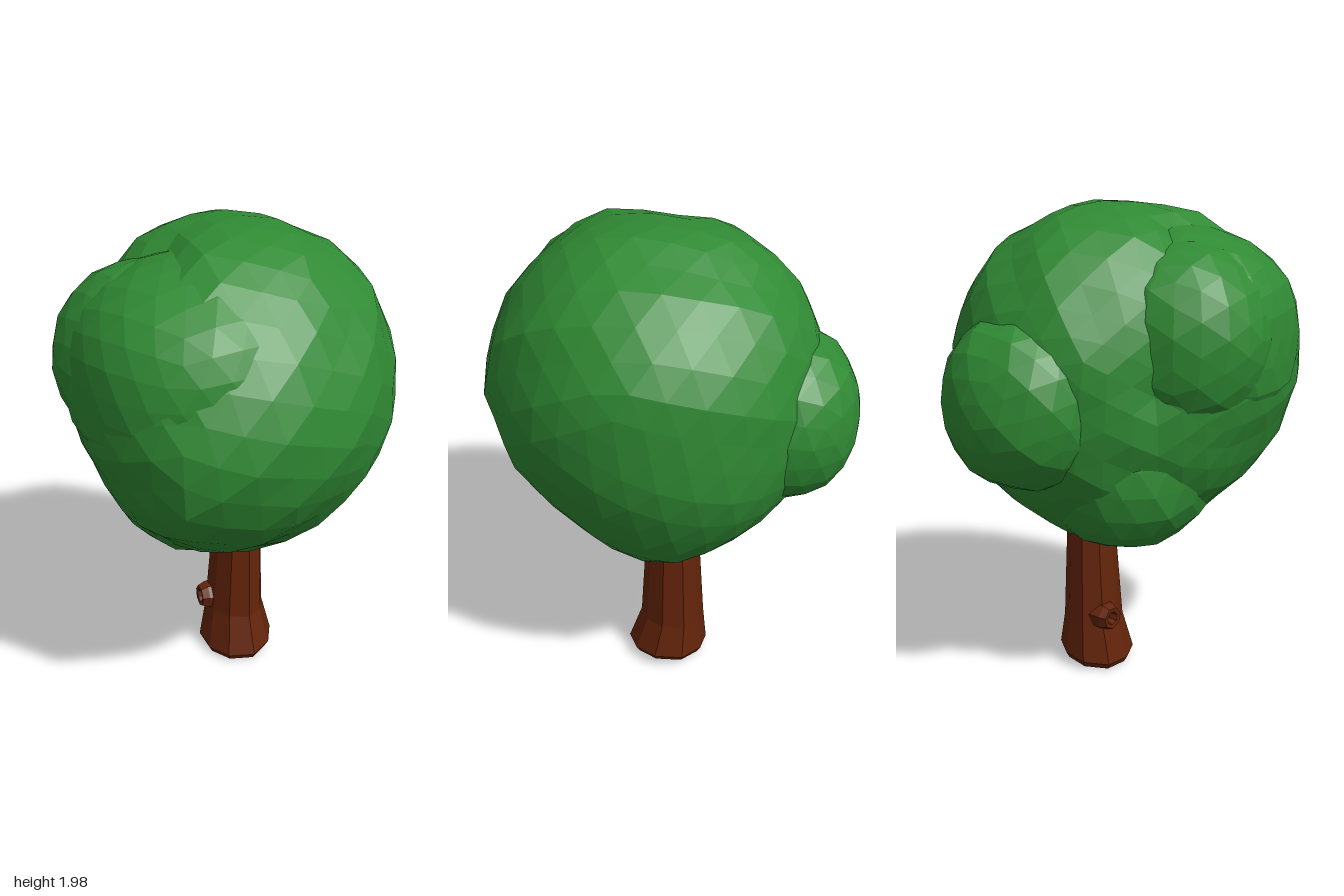
import * as THREE from 'three';

const leafMaterial = new THREE.MeshStandardMaterial({ color: 0x308a34, flatShading: true });
const barkMaterial = new THREE.MeshStandardMaterial({ color: 0x64240a, flatShading: true });

// Move every vertex of a geometry by a rule
function reshape(geometry, rule) {
  const p = geometry.attributes.position;
  const v = new THREE.Vector3();
  for (let i = 0; i < p.count; i++) {
    rule(v.fromBufferAttribute(p, i));
    p.setXYZ(i, v.x, v.y, v.z);
  }
  geometry.computeVertexNormals();
  return geometry;
}

// Repeatable unevenness that depends only on position, so shared corners stay joined
function bump(v, seed) {
  return 0.009 * Math.sin(5.1 * v.x + seed) * Math.cos(4.3 * v.y - 2 * seed)
    + 0.012 * Math.sin(11.7 * v.z + 7.9 * v.y + 3 * seed);
}

function mesh(name, geometry, material) {
  const m = new THREE.Mesh(geometry, material);
  m.name = name;
  return m;
}

// Main crown: radii every 45 degrees around (+x, then towards +z), every 30 degrees upwards
const crownRadii = [
  [0.74, 0.74, 0.74, 0.74, 0.74, 0.74, 0.74, 0.74],
  [0.69, 0.66, 0.67, 0.65, 0.67, 0.7, 0.74, 0.72],
  [0.7, 0.75, 0.62, 0.55, 0.62, 0.68, 0.69, 0.68],
  [0.74, 0.79, 0.65, 0.5, 0.62, 0.65, 0.685, 0.7],
  [0.72, 0.75, 0.68, 0.56, 0.64, 0.69, 0.7, 0.735],
  [0.71, 0.71, 0.6, 0.65, 0.68, 0.68, 0.69, 0.72],
  [0.68, 0.68, 0.68, 0.68, 0.68, 0.68, 0.68, 0.68],
];

function crownRadius(v) {
  const around = (Math.atan2(v.z, v.x) / Math.PI + 2) * 4;
  const up = (Math.asin(THREE.MathUtils.clamp(v.y, -1, 1)) / Math.PI + 0.5) * 6;
  const row = Math.min(Math.floor(up), 5);
  const col = Math.floor(around);
  const along = (r) => THREE.MathUtils.lerp(r[col % 8], r[(col + 1) % 8], around - col);
  return THREE.MathUtils.lerp(along(crownRadii[row]), along(crownRadii[row + 1]), up - row);
}

function createCrown() {
  const geometry = new THREE.IcosahedronGeometry(1, 5);
  geometry.rotateX(0.5).rotateY(0.8);
  reshape(geometry, (v) => v.multiplyScalar(crownRadius(v) * (1 + bump(v, 1))));
  const crown = mesh('mainCrown', geometry, leafMaterial);
  crown.position.y = 1.3;
  return crown;
}

// One faceted clump of leaves: an uneven, slightly squared ellipsoid
function leafClump([name, center, radii, detail], seed) {
  const power = 2.2;
  const geometry = new THREE.IcosahedronGeometry(1, detail);
  geometry.rotateX(seed * 0.9 + 0.3).rotateY(seed * 1.7);
  reshape(geometry, (v) => {
    const sum = Math.abs(v.x) ** power + Math.abs(v.y) ** power + Math.abs(v.z) ** power;
    v.multiplyScalar((1 + bump(v, seed)) * sum ** (-1 / power));
    v.set(v.x * radii[0], v.y * radii[1], v.z * radii[2]);
  });
  const m = mesh(name, geometry, leafMaterial);
  m.position.set(...center);
  return m;
}

function createCanopy() {
  const canopy = new THREE.Group();
  canopy.name = 'canopy';
  const clumps = [
    ['frontClump', [0.13, 1.44, 0.2], [0.5, 0.45, 0.49], 4],
    ['frontTopClump', [-0.04, 1.47, 0.29], [0.34, 0.38, 0.38], 3],
    ['rightClump', [-0.42, 1.25, -0.15], [0.33, 0.35, 0.33], 3],
    ['lowerClump', [-0.05, 0.97, 0.08], [0.4, 0.38, 0.37], 3],
  ];
  canopy.add(createCrown());
  clumps.forEach((clump, i) => canopy.add(leafClump(clump, i + 2)));
  return canopy;
}

function createTrunk() {
  const trunk = new THREE.Group();
  trunk.name = 'trunk';

  // Rings from top to bottom: y, centre x, centre z, radius x, radius z
  const rings = [
    [0.85, -0.02, -0.115, 0.1, 0.09],
    [0.6, -0.02, -0.115, 0.112, 0.1],
    [0.2, -0.02, -0.105, 0.135, 0.122],
    [0.04, 0.0, -0.1, 0.17, 0.155],
    [0.015, 0.0, -0.1, 0.155, 0.14],
  ];
  const stem = reshape(new THREE.CylinderGeometry(1, 1, 1, 9, rings.length - 1), (v) => {
    const row = Math.round((0.5 - v.y) * (rings.length - 1));
    const [y, cx, cz, rx, rz] = rings[row];
    const ridge = 1 + 0.05 * Math.sin(3 * Math.atan2(v.z, v.x) + 0.6);
    const tilt = row > 2 ? -0.018 * v.z : 0;
    v.set(cx + v.x * rx * ridge, y + tilt, cz + v.z * rz * ridge);
  });
  trunk.add(mesh('stem', stem, barkMaterial));

  // Hollow stub of a lost branch
  const profile = [[0.065, -0.07], [0.06, 0], [0.048, 0.03], [0.03, 0.028], [0.024, -0.015], [0, -0.015]];
  const stub = mesh('branchStub', new THREE.LatheGeometry(
    profile.map(([r, y]) => new THREE.Vector2(r, y)), 7), barkMaterial.clone());
  stub.material.side = THREE.DoubleSide;
  stub.rotation.set(Math.PI / 2, 0, 0.25);
  stub.position.set(-0.09, 0.24, 0.005);
  trunk.add(stub);
  return trunk;
}

export function createModel() {
  const tree = new THREE.Group();
  tree.name = 'tree';
  tree.add(createTrunk(), createCanopy());
  return tree;
}
